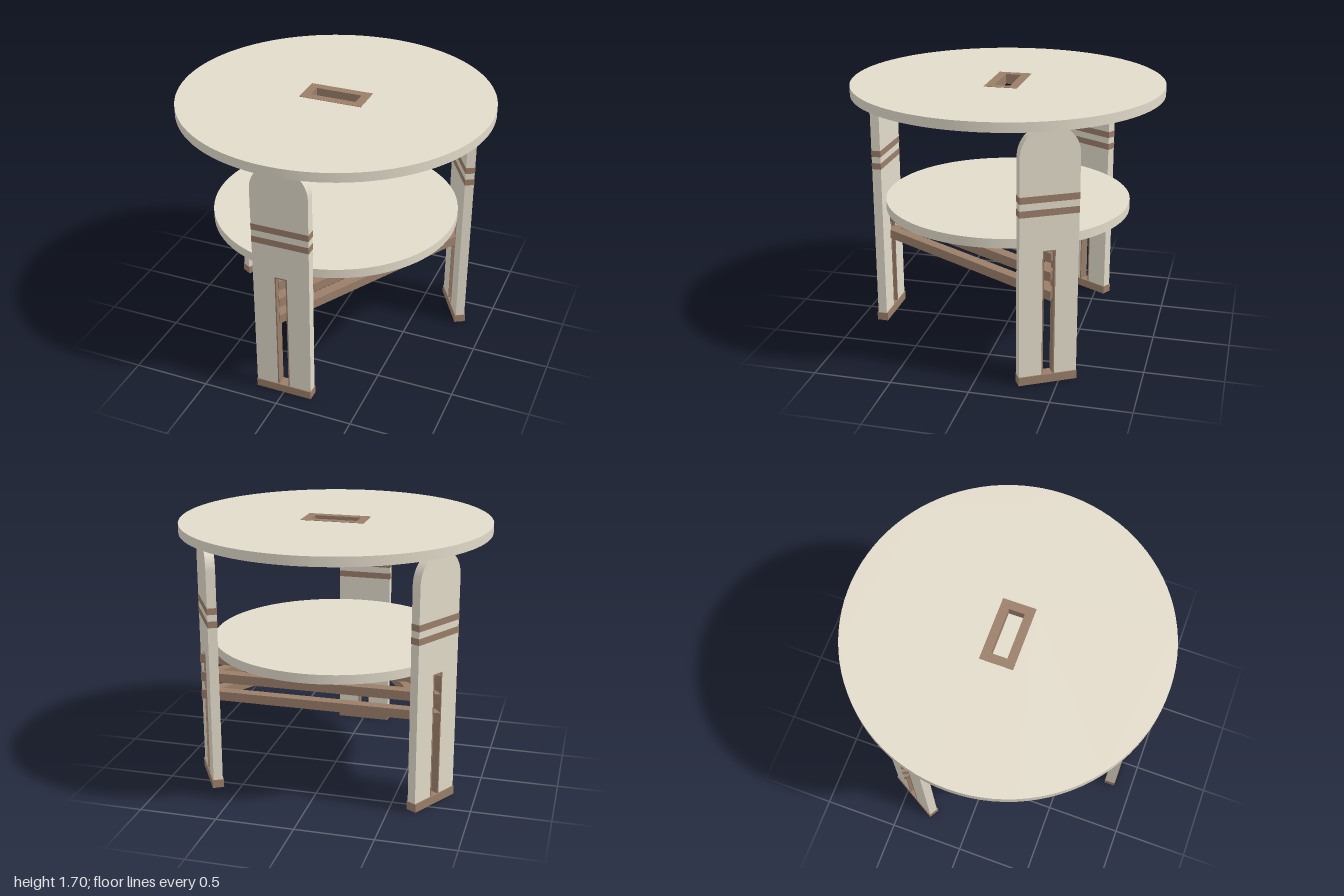
import * as THREE from 'three';
import { toCreasedNormals } from 'three/addons/utils/BufferGeometryUtils.js';

const cream = new THREE.MeshStandardMaterial({ color: 0xe2dbca });
const brown = new THREE.MeshStandardMaterial({ color: 0x9a7e69 });

function part(name, geometry, material, y = 0, z = 0) {
  const mesh = new THREE.Mesh(geometry, material);
  mesh.name = name;
  mesh.position.set(0, y, z);
  return mesh;
}

// Closed outline from corner pairs
const outline = (points) => points.map(([x, y]) => new THREE.Vector2(x, y));
const rect = (hw, y0, y1) => outline([[-hw, y0], [hw, y0], [hw, y1], [-hw, y1]]);

function extrude(shape, depth) {
  const g = new THREE.ExtrudeGeometry(shape, { depth, bevelEnabled: false, curveSegments: 48 });
  return toCreasedNormals(g, 0.5);
}

// Flat slab lying in the ground plane, with its underside at y = 0
const slab = (shape, depth) => extrude(shape, depth).rotateX(-Math.PI / 2);

function withHole(points, hole) {
  const shape = new THREE.Shape(points);
  shape.holes.push(new THREE.Path(hole));
  return shape;
}

const triangle = (r) => outline([0, 1, 2].map((i) => {
  const a = -Math.PI / 2 + (i * 2 * Math.PI) / 3;
  return [r * Math.cos(a), r * Math.sin(a)];
}));

const LEG = { half: 0.185, thick: 0.06, radius: 0.845, foot: 0.055, top: 1.64, slot: 0.04, slotTop: 0.875 };

function makeLeg(name) {
  const { half, thick, radius, foot, top, slot, slotTop } = LEG;
  const leg = new THREE.Group();
  leg.name = name;

  // Arched plank, notched from the foot up
  const plank = new THREE.Shape();
  plank.moveTo(slot, foot);
  plank.lineTo(half, foot);
  plank.lineTo(half, top - half);
  plank.absarc(0, top - half, half, 0, Math.PI, false);
  plank.lineTo(-half, foot);
  plank.lineTo(-slot, foot);
  plank.lineTo(-slot, slotTop);
  plank.lineTo(slot, slotTop);
  plank.closePath();
  leg.add(part('legPlank', extrude(plank, thick), cream, 0, radius - thick / 2));

  // Thin lining around the slot
  const lining = new THREE.Shape(outline([
    [slot, foot], [slot, slotTop], [-slot, slotTop], [-slot, foot],
    [-slot + 0.008, foot], [-slot + 0.008, slotTop - 0.008],
    [slot - 0.008, slotTop - 0.008], [slot - 0.008, foot],
  ]));
  leg.add(part('slotLining', extrude(lining, thick + 0.004), brown, 0, radius - thick / 2 - 0.002));

  // Foot block and the two inlaid bands
  leg.add(part('foot', new THREE.BoxGeometry(2 * half + 0.004, foot, 0.074), brown, foot / 2, radius));
  for (const y of [1.115, 1.2]) {
    leg.add(part('band', new THREE.BoxGeometry(2 * half + 0.003, 0.042, thick + 0.003), brown, y, radius));
  }
  return leg;
}

export function createModel() {
  const table = new THREE.Group();
  table.name = 'table';

  // Round top with a framed opening through its middle
  const top = new THREE.Shape();
  top.absarc(0, 0, 1, 0, Math.PI * 2, false);
  top.holes.push(new THREE.Path(rect(0.204, -0.104, 0.104)));
  table.add(part('tableTop', slab(top, 0.06), cream, 1.64));
  const frame = withHole(rect(0.206, -0.106, 0.106), rect(0.15, -0.05, 0.05));
  table.add(part('openingFrame', slab(frame, 0.064), brown, 1.638));

  // Lower shelf
  table.add(part('shelf', new THREE.CylinderGeometry(0.8, 0.8, 0.06, 96), cream, 0.9));

  // Three stacked triangular rails, their corners passing through the leg slots
  const rail = slab(withHole(triangle(0.905), triangle(0.765)), 0.06);
  for (const y of [0.56, 0.683, 0.806]) table.add(part('railFrame', rail, brown, y));

  // Legs at thirds of a circle
  ['frontLeg', 'leftLeg', 'rightLeg'].forEach((name, i) => {
    const leg = makeLeg(name);
    leg.rotation.y = (i * 2 * Math.PI) / 3;
    table.add(leg);
  });
  return table;
}
